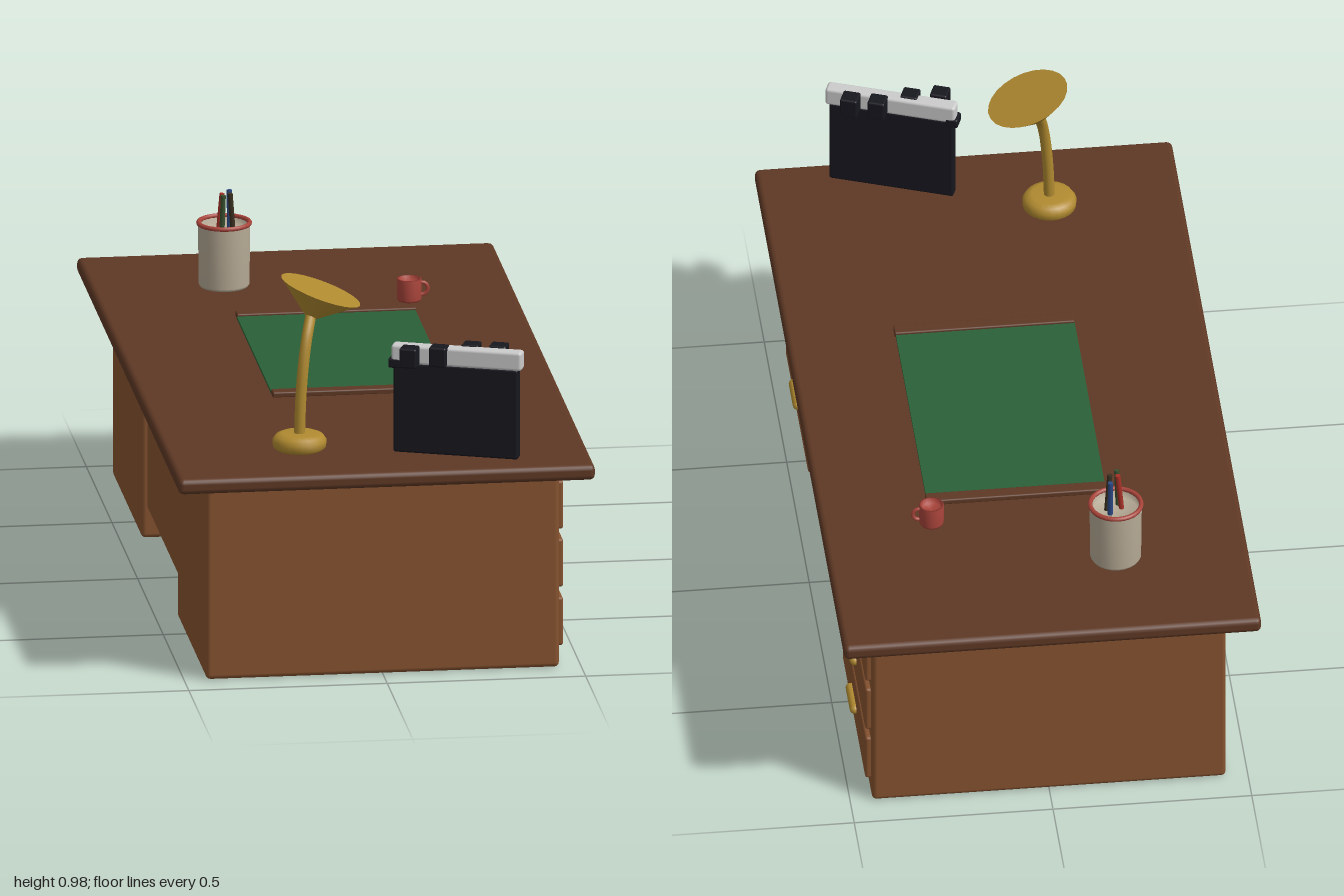
import * as THREE from 'three';
import { RoundedBoxGeometry } from 'three/addons/geometries/RoundedBoxGeometry.js';

const mat = (color, side = THREE.FrontSide) => new THREE.MeshStandardMaterial({ color, side });

export function createModel() {
  const model = new THREE.Group();
  const wood = mat(0x85522f), darkWood = mat(0x5e3824), brass = mat(0xb08a30), green = mat(0x2a6038);
  const black = mat(0x17171f), white = mat(0xc8c8c4), cream = mat(0xb5a994, THREE.DoubleSide), red = mat(0xa8443a, THREE.DoubleSide);

  const add = (name, geometry, material, x = 0, y = 0, z = 0, parent = model) => {
    const mesh = new THREE.Mesh(geometry, material);
    mesh.name = name;
    mesh.position.set(x, y, z);
    parent.add(mesh);
    return mesh;
  };
  // Soft-edged box given by its min and max on each axis
  const block = (name, material, [x0, x1], [y0, y1], [z0, z1], r = 0.006, parent = model) =>
    add(name, new RoundedBoxGeometry(x1 - x0, y1 - y0, z1 - z0, 2, r), material,
      (x0 + x1) / 2, (y0 + y1) / 2, (z0 + z1) / 2, parent);
  const group = (name, x, y, z) => {
    const g = new THREE.Group();
    g.name = name;
    g.position.set(x, y, z);
    model.add(g);
    return g;
  };
  const lathe = (points, n = 24) => new THREE.LatheGeometry(points.map(p => new THREE.Vector2(...p)), n);

  // Desk body
  block('desktop', darkWood, [-0.525, 0.525], [0.508, 0.548], [-1, 1], 0.014);
  block('centreDrawer', wood, [-0.42, 0.45], [0.43, 0.506], [-0.368, 0.368], 0.008);
  block('backPanel', wood, [-0.43, -0.4], [0.08, 0.5], [-0.36, 0.36], 0.004);

  // Two pedestals, each with three drawers and pulls
  for (const s of [1, -1]) {
    const span = (a, b) => (s > 0 ? [a, b] : [-b, -a]);
    block('pedestal', wood, [-0.445, 0.445], [0, 0.502], span(0.35, 0.915), 0.012);
    for (const y of [0.11, 0.262, 0.413]) {
      block('drawerFront', wood, [0.435, 0.459], [y - 0.063, y + 0.063], span(0.385, 0.883), 0.007);
      const pull = add('drawerPull', new THREE.CapsuleGeometry(0.012, 0.09, 4, 10), brass, 0.463, y, s * 0.632);
      pull.rotation.x = Math.PI / 2;
    }
  }

  // Writing pad with end strips
  add('writingPad', new THREE.BoxGeometry(0.45, 0.008, 0.67), green, 0.027, 0.551, -0.067);
  for (const z of [-0.417, 0.283])
    block('padEndStrip', darkWood, [-0.198, 0.255], [0.546, 0.561], [z - 0.018, z + 0.018], 0.004);

  // Desk lamp
  const lamp = group('lamp', -0.19, 0, 0.758);
  add('lampBase', lathe([[0, 0.548], [0.058, 0.548], [0.067, 0.556], [0.068, 0.572], [0.06, 0.584], [0.045, 0.59], [0, 0.59]]),
    brass, 0, 0, 0, lamp);
  const stem = new THREE.CatmullRomCurve3([
    [0, 0.58, 0], [0.004, 0.68, -0.003], [0.012, 0.77, -0.01], [0.022, 0.83, -0.025], [0.036, 0.88, -0.055],
  ].map(p => new THREE.Vector3(...p)));
  add('lampStem', new THREE.TubeGeometry(stem, 20, 0.014, 10), brass, 0, 0, 0, lamp);
  // The shade is a closed cone, wide end up
  const shade = add('lampShade', new THREE.ConeGeometry(0.106, 0.085, 24), brass, 0.047, 0.9, -0.063, lamp);
  shade.rotation.set(Math.PI, 0, -0.355, 'ZXY');

  // Upright board with a striped bar on top
  const board = group('board', 0.19, 0, 0.885);
  board.rotation.y = -0.36;
  block('boardPanel', black, [-0.16, 0.16], [0.556, 0.79], [-0.016, 0.016], 0.006, board);
  block('boardBar', white, [-0.165, 0.17], [0.787, 0.836], [-0.019, 0.019], 0.008, board);
  block('boardHinge', black, [-0.172, -0.14], [0.775, 0.8], [-0.02, 0.02], 0.005, board);
  for (const [x, z] of [[-0.112, 0.041], [-0.042, 0.015], [0.031, -0.03], [0.1, -0.036]])
    block('barStripe', black, [x - 0.022, x + 0.022], [0.789, 0.84], [z - 0.022, z + 0.022], 0.005, board);

  // Pencil cup
  const cup = group('pencilCup', -0.192, 0, -0.697);
  add('cupBody', lathe([[0, 0.549], [0.06, 0.549], [0.064, 0.556], [0.066, 0.715], [0.06, 0.715], [0.058, 0.69], [0, 0.69]]),
    cream, 0, 0, 0, cup);
  const rim = add('cupRim', new THREE.TorusGeometry(0.064, 0.006, 8, 28), red, 0, 0.713, 0, cup);
  rim.rotation.x = Math.PI / 2;
  const pencils = [[-0.012, 0.012, 0xa83228, 0.09, 0], [0.015, -0.013, 0x2c4a85, 0, -0.06],
    [-0.008, 0.03, 0x39502f, 0.03, 0.05], [0.018, 0.012, 0x3a3020, -0.08, 0.06]];
  for (const [x, z, color, tiltZ, tiltX] of pencils) {
    const pencil = add('pencil', new THREE.CylinderGeometry(0.0065, 0.0065, 0.12, 8), mat(color), x, 0.733, z, cup);
    pencil.rotation.set(tiltX, 0, -tiltZ);
  }

  // Mug with its handle towards the drawers
  const mug = group('mug', 0.25, 0, -0.508);
  add('mugBody', lathe([[0, 0.549], [0.028, 0.549], [0.031, 0.555], [0.031, 0.606], [0.026, 0.606], [0.025, 0.592], [0, 0.592]], 20),
    red, 0, 0, 0, mug);
  add('mugHandle', new THREE.TorusGeometry(0.016, 0.005, 8, 16), red, 0.031, 0.579, 0, mug);

  return model;
}
